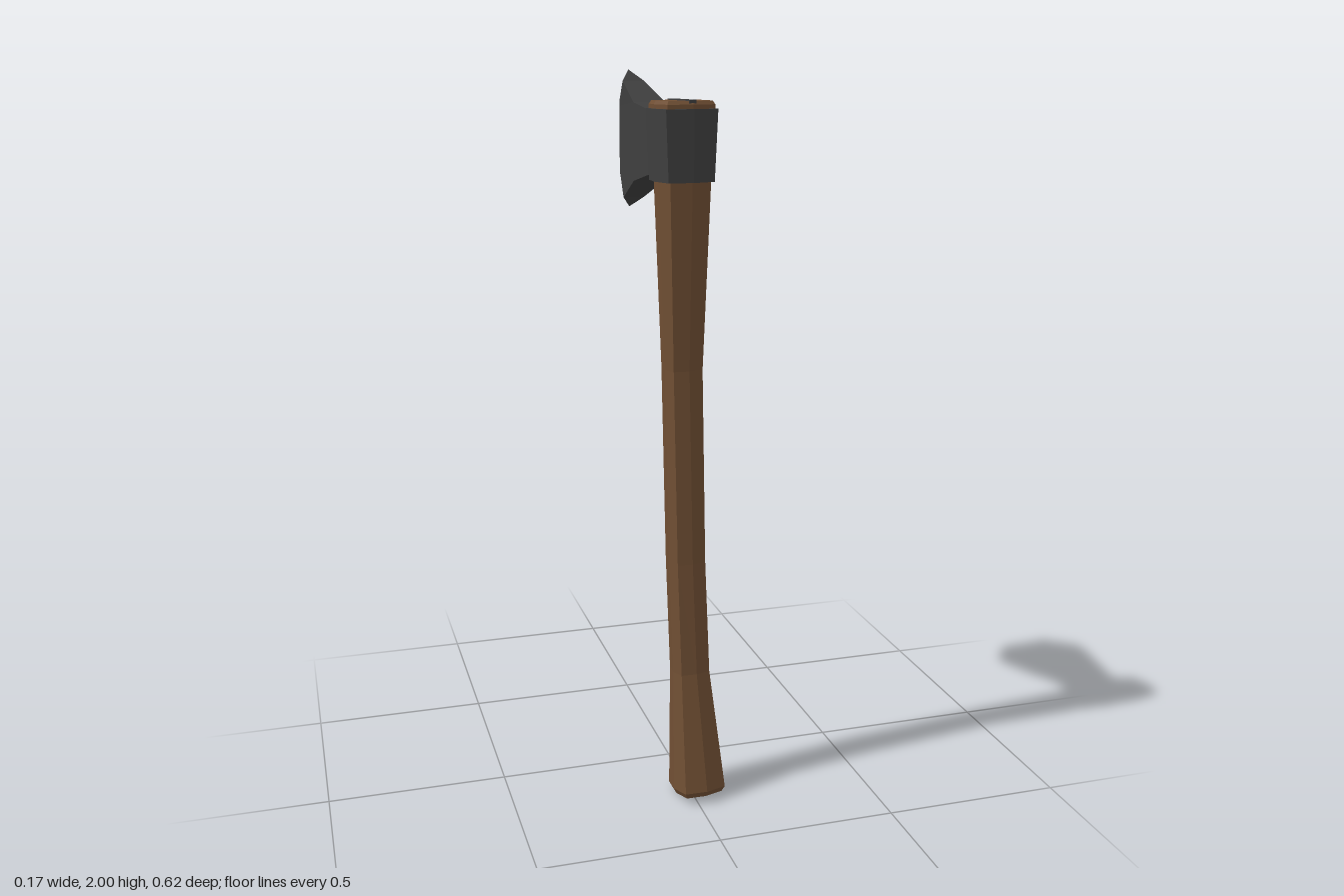
import * as THREE from 'three';

// Joins rings of points into a faceted solid with end caps
function loft(rings) {
  const pos = [];
  const tri = (a, b, c) => {
    const area = b.clone().sub(a).cross(c.clone().sub(a)).length();
    if (area > 1e-9) for (const p of [a, b, c]) pos.push(p.x, p.y, p.z);
  };
  const n = rings[0].length;
  for (let i = 0; i < rings.length - 1; i++) {
    for (let j = 0; j < n; j++) {
      const k = (j + 1) % n;
      tri(rings[i][j], rings[i + 1][j], rings[i + 1][k]);
      tri(rings[i][j], rings[i + 1][k], rings[i][k]);
    }
  }
  const first = rings[0], last = rings[rings.length - 1];
  for (let j = 1; j < n - 1; j++) {
    tri(first[0], first[j], first[j + 1]);
    tri(last[0], last[j + 1], last[j]);
  }
  const geo = new THREE.BufferGeometry();
  geo.setAttribute('position', new THREE.Float32BufferAttribute(pos, 3));
  geo.computeVertexNormals();
  return geo;
}

// Boxy eight-sided section: height, half width, half depth, z centre, tilt
const OCTAGON = [[1, 0], [0.85, 0.83], [0, 1], [-0.85, 0.83], [-1, 0], [-0.85, -0.83], [0, -1], [0.85, -0.83]];
const octRing = ([y, hx, hz, cz = 0, tilt = 0]) =>
  OCTAGON.map(([a, b]) => new THREE.Vector3(a * hx, y + tilt * b * hz, cz + b * hz));

// Blade section from [halfThickness, y, z] points listed bottom to top, mirrored across x
const bladeRing = (pts) => [
  ...pts.map(([x, y, z]) => new THREE.Vector3(x, y, z)),
  ...pts.slice().reverse().map(([x, y, z]) => new THREE.Vector3(-x, y, z)),
];
const flatSection = (x, y0, y1, z) =>
  [0, 0.3, 0.7, 1].map((t) => [x, y0 + (y1 - y0) * t, z]);

export function createModel() {
  const wood = new THREE.MeshStandardMaterial({ color: 0x6f4e33, flatShading: true });
  wood.name = 'wood';
  const steel = new THREE.MeshStandardMaterial({ color: 0x3f3f3f, flatShading: true });
  steel.name = 'dark steel';

  const axe = new THREE.Group();
  axe.name = 'axe';
  const add = (name, geo, mat) => {
    const mesh = new THREE.Mesh(geo, mat);
    mesh.name = name;
    axe.add(mesh);
    return mesh;
  };

  // Curved handle, flared at both ends and showing above the collar
  add('handle', loft([
    [0.01, 0.063, 0.063, 0.116, 0.15],
    [0.026, 0.071, 0.071, 0.116, 0.15],
    [0.36, 0.05, 0.049, 0.063, 0.08],
    [0.68, 0.049, 0.05, 0.032],
    [1.22, 0.05, 0.05, 0.005],
    [1.72, 0.068, 0.066, 0.004],
    [1.9, 0.079, 0.073],
    [1.916, 0.079, 0.073],
    [1.925, 0.073, 0.067],
  ].map(octRing)), wood);

  // Collar gripping the handle
  add('collar', loft([[1.72, 0.077, 0.078], [1.905, 0.086, 0.08]].map(octRing)), steel);

  // Wedge driven into the handle top
  const wedge = add('wedge', new THREE.BoxGeometry(0.02, 0.04, 0.14), steel);
  wedge.position.y = 1.908;

  // Blade: neck, spreading cheeks, then a bevel down to the cutting edge
  add('blade', loft([
    flatSection(0.039, 1.735, 1.885, -0.05),
    flatSection(0.035, 1.73, 1.895, -0.125),
    flatSection(0.047, 1.705, 1.915, -0.216),
    [[0.032, 1.65, -0.33], [0.024, 1.72, -0.376], [0.024, 1.9, -0.376], [0.032, 1.97, -0.33]],
    [[0, 1.62, -0.366], [0, 1.71, -0.437], [0, 1.91, -0.437], [0, 2.0, -0.366]],
  ].map(bladeRing)), steel);

  // Slight turn about the handle axis
  axe.rotation.y = 0.13;
  axe.position.z = 0.122;

  const model = new THREE.Group();
  model.name = 'hatchet';
  model.add(axe);
  return model;
}
